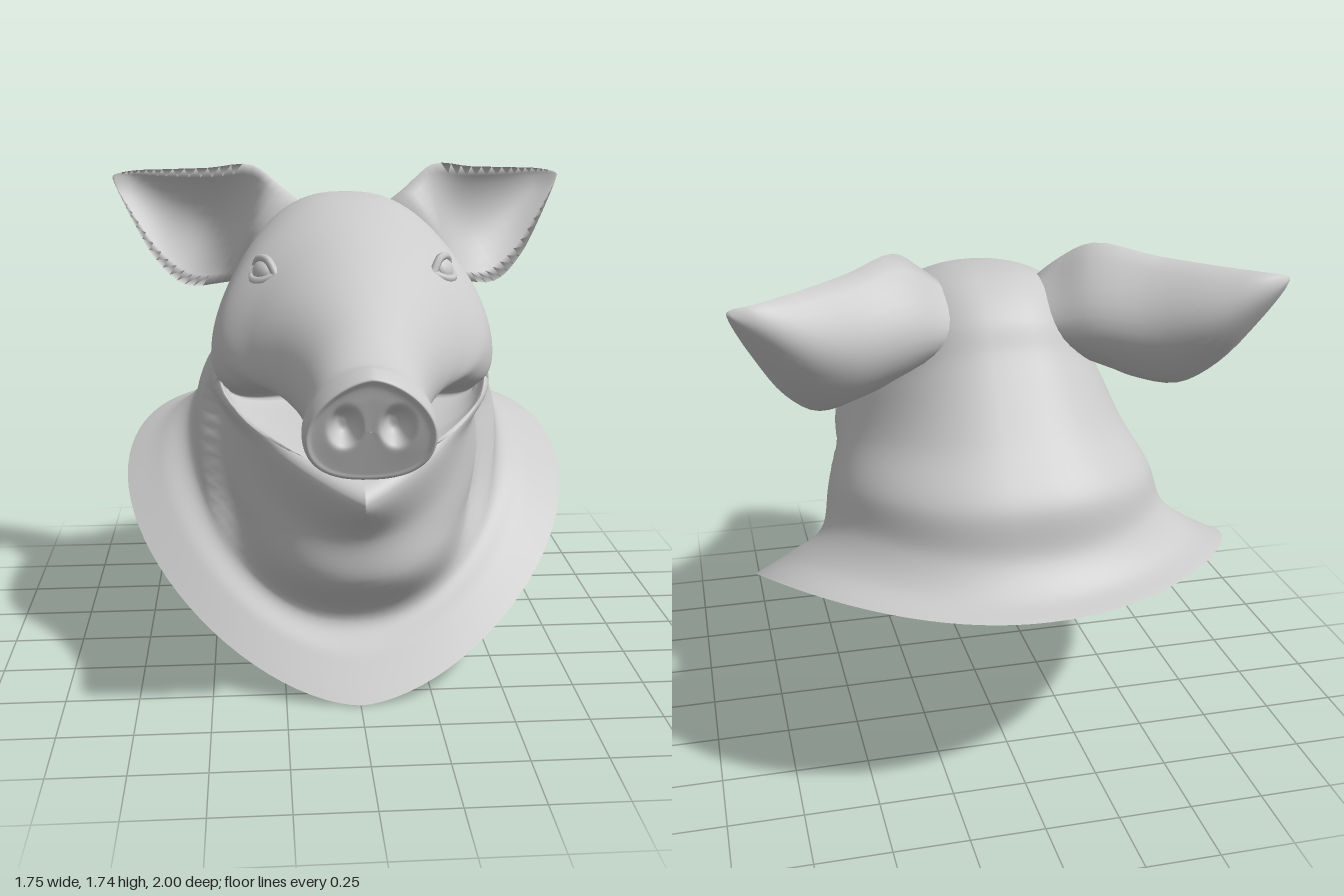
import * as THREE from 'three';

const material = new THREE.MeshStandardMaterial({ color: 0xcccccc, side: THREE.DoubleSide, roughness: 0.8 });
const smooth = THREE.MathUtils.smoothstep;

function addMesh(parent, name, geometry) {
  const mesh = new THREE.Mesh(geometry, material);
  mesh.name = name;
  parent.add(mesh);
  return mesh;
}

// Smooth skin through closed rings that all have the same number of points
function loft(rings, sub, adjust) {
  const n = rings[0].length, rows = (rings.length - 1) * sub + 1;
  const curves = rings[0].map((_, j) => new THREE.CatmullRomCurve3(rings.map(r => r[j])));
  const pos = [], index = [];
  for (let i = 0; i < rows; i++) {
    for (let j = 0; j < n; j++) {
      const p = curves[j].getPoint(i / (rows - 1));
      if (adjust) adjust(p, i / sub);
      pos.push(p.x, p.y, p.z);
      if (i < rows - 1) {
        const a = i * n + j, b = i * n + (j + 1) % n;
        index.push(a, a + n, b, b, a + n, b + n);
      }
    }
  }
  const g = new THREE.BufferGeometry();
  g.setAttribute('position', new THREE.Float32BufferAttribute(pos, 3));
  g.setIndex(index);
  g.computeVertexNormals();
  return g;
}

// Ring through a top, side and bottom point (each z, y) with half width w;
// the two powers shape the upper and lower half, small is square and large is pointed
function headRing([topZ, topY, sideZ, sideY, botZ, botY, w, upper = 1, lower = 1]) {
  const bend = (t, s, b, c) => s + c * (t - b) / 2 + c * c * ((t + b) / 2 - s);
  return Array.from({ length: 96 }, (_, j) => {
    const a = j / 96 * Math.PI * 2, c = Math.cos(a), s = Math.sin(a);
    return new THREE.Vector3(w * Math.sign(s) * Math.abs(s) ** (c > 0 ? upper : lower),
      bend(topY, sideY, botY, c), bend(topZ, sideZ, botZ, c));
  });
}

// Collar, neck and lower jaw
const neckRings = [
  [-1.0, 0.76, -0.2, 0.62, 0.6, 0.0, 0.825, 1, 1.2],
  [-0.91, 0.79, -0.2, 0.69, 0.5, 0.13, 0.7, 1, 1.05],
  [-0.825, 0.88, -0.22, 0.78, 0.42, 0.24, 0.59, 0.88, 0.9],
  [-0.79, 1.04, -0.15, 0.9, 0.57, 0.43, 0.55, 0.83, 0.88],
  [-0.65, 1.2, 0.02, 0.99, 0.6, 0.6, 0.505, 0.8, 1.05],
  [-0.52, 1.37, 0.17, 1.06, 0.76, 0.765, 0.475, 0.77, 2.0],
];
// Mouth pocket, skull and snout up to the flared rim
const skullRings = [
  [-0.47, 1.44, 0.19, 1.08, 0.71, 0.82, 0.46, 0.77, 2.0],
  [-0.41, 1.54, 0.17, 1.085, 0.42, 0.88, 0.455, 0.77, 1.5],
  [-0.29, 1.63, 0.15, 1.1, 0.1, 0.97, 0.465, 0.78],
  [-0.1, 1.645, 0.2, 1.14, 0.38, 1.07, 0.485, 0.82],
  [0.1, 1.61, 0.28, 1.22, 0.5, 1.05, 0.455, 0.95],
  [0.3, 1.53, 0.42, 1.22, 0.58, 1.01, 0.35],
  [0.5, 1.42, 0.56, 1.18, 0.66, 0.96, 0.265],
  [0.7, 1.33, 0.7, 1.12, 0.72, 0.92, 0.21],
  [0.87, 1.25, 0.83, 1.08, 0.79, 0.885, 0.185],
  [0.94, 1.25, 0.89, 1.05, 0.84, 0.885, 0.203, 1.2, 0.85],
  [0.995, 1.23, 0.945, 1.04, 0.89, 0.9, 0.193, 1.25, 0.85],
];
// Snout disc
const discRings = [0.9, 0.6, 0.3, 0.01].map(k =>
  [0.94 + 0.045 * k, 1.06 + 0.165 * k, 0.94, 1.06 - 0.02 * k, 0.94 - 0.05 * k, 1.06 - 0.16 * k, 0.193 * k, 1.25, 0.85]);

// Set the jaw in behind a crease on the neck, and press the nostrils into the disc
function sculptHead(p, row) {
  if (row <= neckRings.length) {
    const crease = -0.03 + 0.44 * ((1 - Math.min(p.y, 1)) / 0.75) ** 2;
    p.x *= 1 - 0.12 * smooth(p.z, crease, crease + 0.06)
      * smooth(p.y, 0.35, 0.6) * (1 - smooth(p.y, 0.88, 1.03));
  } else if (row > neckRings.length + skullRings.length - 0.5) {
    const d = ((Math.abs(p.x) - 0.077) / 0.038) ** 2 + ((p.y - 1.075) / 0.052) ** 2;
    p.z -= 0.08 * Math.exp(-d * d);
  }
}

// Ear: crescent sections from upper edge to lower edge, bulging backward
function earGeometry() {
  // upper edge xyz, lower edge xyz, depth of back, depth of cup
  const sections = [
    [0.12, 1.58, -0.19, 0.26, 1.36, -0.2, 0.17, -0.04],
    [0.23, 1.665, -0.2, 0.37, 1.32, -0.27, 0.2, -0.07],
    [0.33, 1.735, -0.28, 0.46, 1.29, -0.35, 0.185, 0.03],
    [0.5, 1.715, -0.42, 0.6, 1.275, -0.41, 0.155, 0.115],
    [0.68, 1.7, -0.55, 0.71, 1.36, -0.48, 0.12, 0.085],
    [0.8, 1.69, -0.615, 0.81, 1.52, -0.56, 0.06, 0.035],
    [0.87, 1.675, -0.61, 0.865, 1.63, -0.605, 0.02, 0.0],
    [0.877, 1.665, -0.61, 0.876, 1.66, -0.61, 0.002, 0.0],
  ];
  const back = new THREE.Vector3(-0.55, -0.05, -0.83), n = 12;
  return loft(sections.map(s => {
    const p = new THREE.Vector3(s[0], s[1], s[2]), q = new THREE.Vector3(s[3], s[4], s[5]);
    return Array.from({ length: 2 * n }, (_, k) => {
      const t = k <= n ? k / n : 2 - k / n;
      const depth = (k <= n ? s[6] : s[7]) * Math.sin(Math.PI * t) ** 0.8;
      return p.clone().lerp(q, t).addScaledVector(back, depth);
    });
  }), 4);
}

function createEye() {
  const eye = new THREE.Group();
  const ball = addMesh(eye, 'eyeball', new THREE.SphereGeometry(0.042, 16, 12));
  ball.scale.set(1.1, 0.9, 0.6);
  // Upper and lower lids
  for (const side of [1, -1]) {
    const lid = new THREE.CatmullRomCurve3([
      new THREE.Vector3(-0.07, -0.005, -0.012), new THREE.Vector3(-0.03, 0.036 * side, 0.012),
      new THREE.Vector3(0.025, 0.036 * side, 0.012), new THREE.Vector3(0.07, 0.005, -0.015)]);
    addMesh(eye, side > 0 ? 'upperLid' : 'lowerLid', new THREE.TubeGeometry(lid, 12, 0.014, 6));
  }
  return eye;
}

export function createModel() {
  const model = new THREE.Group();
  model.name = 'pigHeadMask';
  const rings = [...neckRings, ...skullRings, ...discRings].map(headRing);
  addMesh(model, 'headAndCollar', loft(rings, 8, sculptHead));

  const ear = earGeometry();
  for (const side of [1, -1]) {
    const half = new THREE.Group();
    half.name = side > 0 ? 'leftFeatures' : 'rightFeatures';
    half.scale.x = side;
    addMesh(half, 'ear', ear);
    const eye = createEye();
    eye.name = 'eye';
    eye.position.set(0.306, 1.43, 0.25);
    eye.rotation.set(-0.4, 1.0, 0, 'YXZ');
    half.add(eye);
    // Fold at the corner of the mouth
    const fold = new THREE.CatmullRomCurve3([
      new THREE.Vector3(0.38, 1.1, 0.34), new THREE.Vector3(0.437, 1.08, 0.25),
      new THREE.Vector3(0.458, 1.03, 0.2), new THREE.Vector3(0.43, 0.97, 0.2)]);
    addMesh(half, 'mouthFold', new THREE.TubeGeometry(fold, 14, 0.02, 7));
    model.add(half);
  }
  return model;
}
